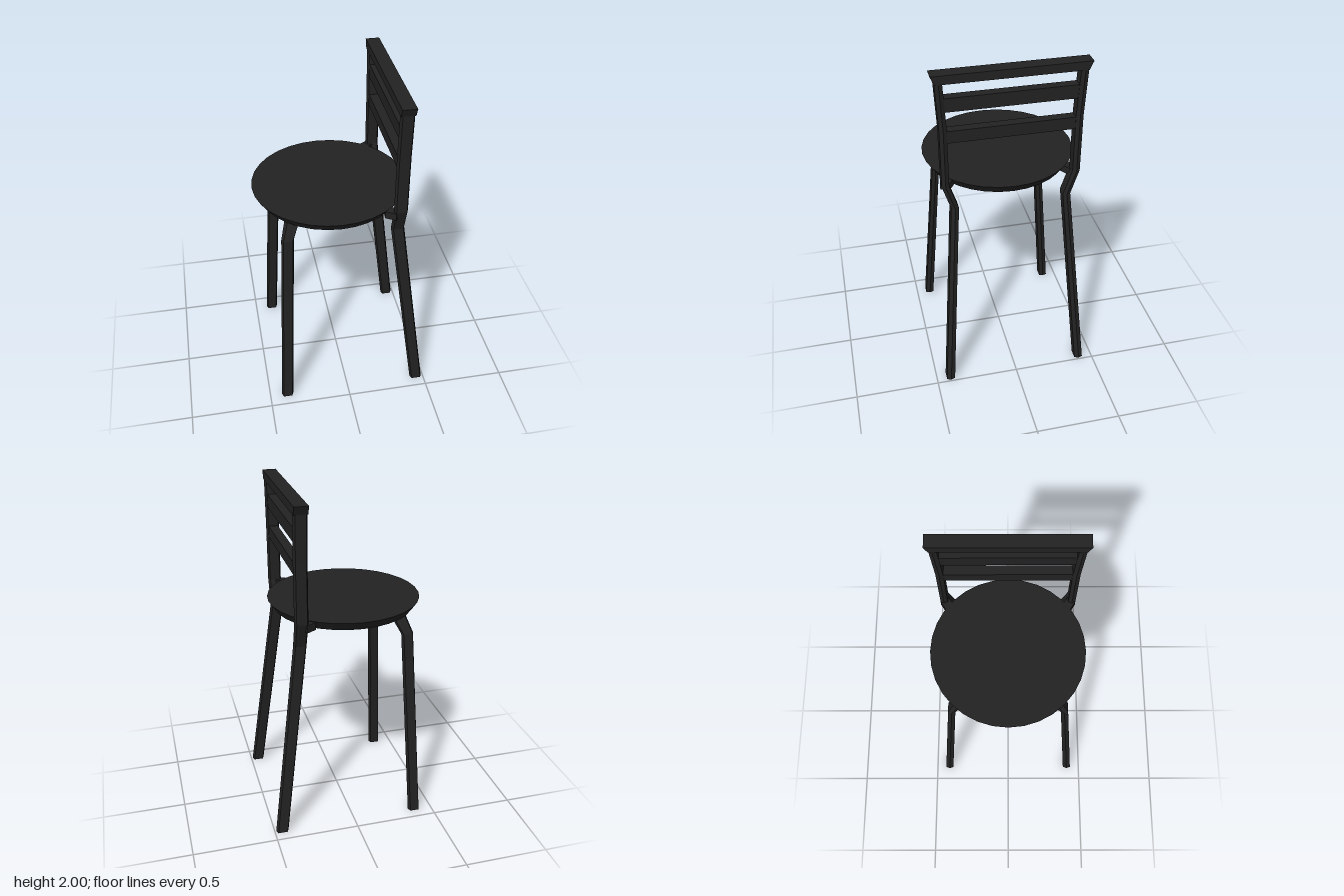
import * as THREE from 'three';

// Cross-sections in x/z, scaled by each section's half sizes
const HEX = [[1, 0], [0.75, 1], [-0.75, 1], [-1, 0], [-0.75, -1], [0.75, -1]];
const RECT = [[1, -1], [1, 1], [-1, 1], [-1, -1]];

// Closed loft through horizontal sections [y, centreX, centreZ, halfX, halfZ], bottom to top
function loft(profile, sections) {
  const n = profile.length, pos = [], idx = [];
  for (const [y, cx, cz, hx, hz] of sections)
    for (const [px, pz] of profile) pos.push(cx + px * hx, y, cz + pz * hz);
  for (let s = 0; s < sections.length - 1; s++)
    for (let i = 0; i < n; i++) {
      const a = s * n + i, b = s * n + (i + 1) % n;
      idx.push(a, a + n, b, b, a + n, b + n);
    }
  const top = (sections.length - 1) * n;
  for (let i = 1; i < n - 1; i++) {
    idx.push(0, i, i + 1);
    idx.push(top, top + i + 1, top + i);
  }
  const indexed = new THREE.BufferGeometry();
  indexed.setAttribute('position', new THREE.Float32BufferAttribute(pos, 3));
  indexed.setIndex(idx);
  const g = indexed.toNonIndexed();
  g.computeVertexNormals();
  return g;
}

export function createModel() {
  const chair = new THREE.Group();
  chair.name = 'chair';
  const black = new THREE.MeshStandardMaterial({ color: 0x222222 });
  black.name = 'matte black';
  black.flatShading = true;

  const add = (name, geometry, x = 0, y = 0, z = 0) => {
    const mesh = new THREE.Mesh(geometry, black);
    mesh.name = name;
    mesh.position.set(x, y, z);
    chair.add(mesh);
    return mesh;
  };

  // Round seat with an undercut edge
  const seat = add('seat', new THREE.CylinderGeometry(0.453, 0.415, 0.055, 32), -0.042, 1.3025, 0);
  seat.scale.z = 0.985;

  for (const side of [1, -1]) {
    const label = side > 0 ? 'left' : 'right';

    // Front leg, bent inward beneath the seat
    add(label + 'FrontLeg', loft(HEX, [
      [0, -0.39, side * 0.415, 0.036, 0.025],
      [1.18, -0.335, side * 0.325, 0.036, 0.021],
      [1.29, -0.29, side * 0.255, 0.046, 0.034],
    ]));

    // Rear leg continuing up as the back post
    add(label + 'BackPost', loft(HEX, [
      [0, 0.453, side * 0.415, 0.038, 0.025],
      [1.18, 0.3, side * 0.325, 0.039, 0.022],
      [1.33, 0.3, side * 0.374, 0.04, 0.021],
      [1.68, 0.3, side * 0.375, 0.04, 0.021],
      [1.96, 0.3, side * 0.39, 0.04, 0.021],
    ]));

    // Bracket joining the seat to the back post
    const bracket = new THREE.Shape();
    bracket.moveTo(0.215, side * 0.36);
    bracket.lineTo(0.27, side * 0.395);
    bracket.lineTo(0.3, side * 0.35);
    bracket.lineTo(0.22, side * 0.3);
    bracket.closePath();
    const plate = new THREE.ExtrudeGeometry(bracket, { depth: 0.045, bevelEnabled: false });
    plate.rotateX(Math.PI / 2);
    add(label + 'SeatBracket', plate, 0, 1.325, 0);
  }

  // Horizontal back slats
  add('lowerBackSlat', new THREE.BoxGeometry(0.055, 0.072, 0.73), 0.3, 1.636, 0);
  add('middleBackSlat', new THREE.BoxGeometry(0.055, 0.08, 0.75), 0.3, 1.825, 0);

  // Top rail with flared ends
  add('topRail', loft(RECT, [
    [1.95, 0.3, 0, 0.04, 0.41],
    [2, 0.3, 0, 0.04, 0.432],
  ]));

  return chair;
}
